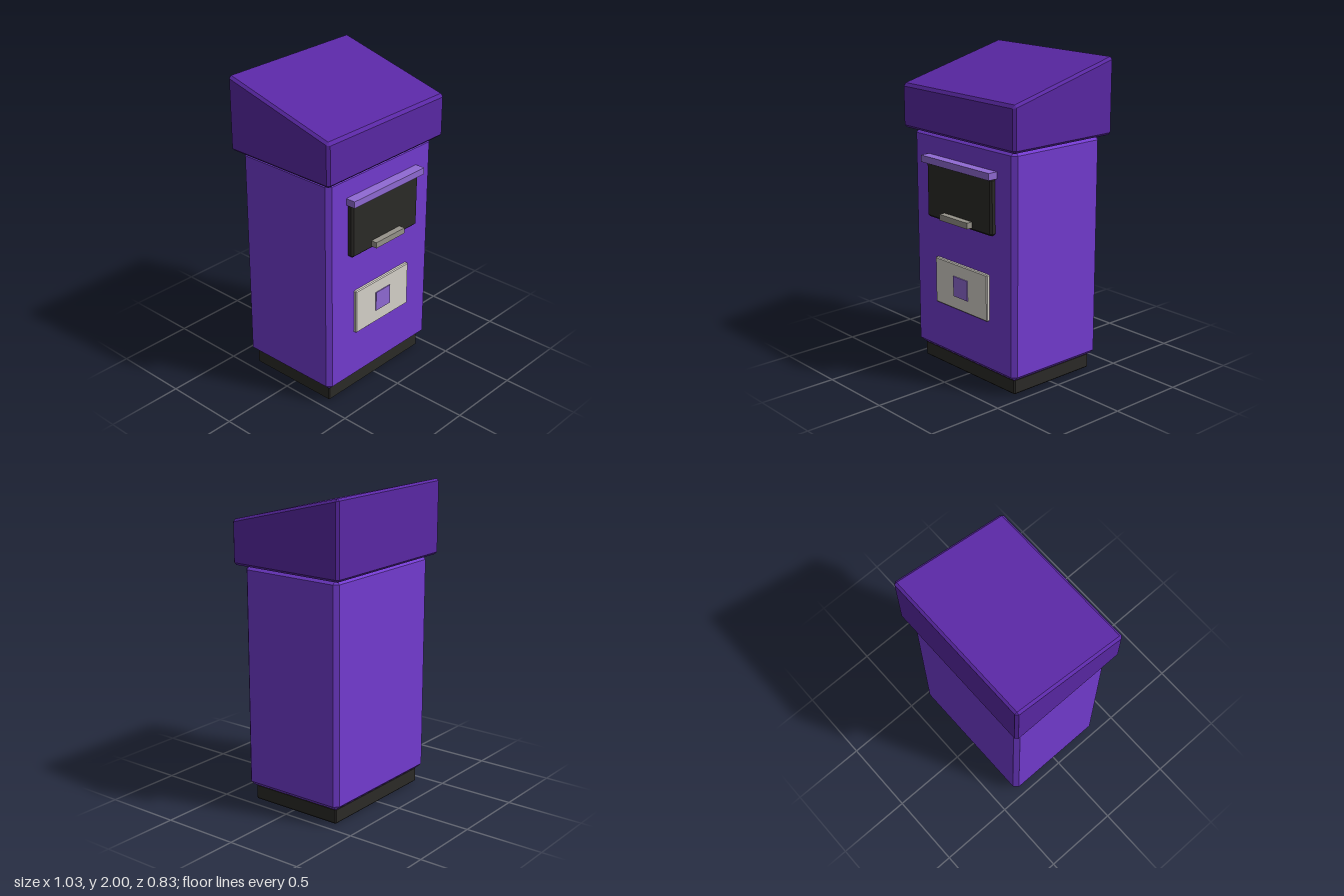
import * as THREE from 'three';
import { ConvexGeometry } from 'three/addons/geometries/ConvexGeometry.js';

// Box with chamfered edges between two corners; slope tilts its top along z.
function chamferBox([x0, y0, z0], [x1, y1, z1], c, slope = 0) {
  const points = [];
  for (const sx of [0, 1]) for (const sy of [0, 1]) for (const sz of [0, 1]) {
    // each corner becomes three points, one on each adjoining face
    for (let face = 0; face < 3; face++) {
      const inset = [c, c, c];
      inset[face] = 0;
      const x = sx ? x1 - inset[0] : x0 + inset[0];
      const z = sz ? z1 - inset[2] : z0 + inset[2];
      let y = sy ? y1 - inset[1] : y0 + inset[1];
      if (sy) y -= slope * (z - z0 - c);
      points.push(new THREE.Vector3(x, y, z));
    }
  }
  return new ConvexGeometry(points);
}

function plainBox([x0, y0, z0], [x1, y1, z1]) {
  return new THREE.BoxGeometry(x1 - x0, y1 - y0, z1 - z0)
    .translate((x0 + x1) / 2, (y0 + y1) / 2, (z0 + z1) / 2);
}

export function createModel() {
  const group = new THREE.Group();
  const material = (color) => new THREE.MeshStandardMaterial({ color });
  const purple = material(0x733bd0);
  const darkPurple = material(0x5a28a5);
  const lilac = material(0x906ad4);
  const black = material(0x2b2a27);
  const cream = material(0xd6d2ca);
  const grey = material(0x96938a);

  const add = (name, geometry, mat) => {
    const mesh = new THREE.Mesh(geometry, mat);
    mesh.name = name;
    group.add(mesh);
  };

  // Plinth, cabinet and sloping lid
  add('base', chamferBox([-0.43, 0, -0.335], [0.43, 0.1, 0.303], 0.008), black);
  add('body', chamferBox([-0.467, 0.1, -0.37], [0.467, 1.525, 0.34], 0.028), purple);
  add('slopedLid', chamferBox([-0.515, 1.525, -0.415], [0.515, 2, 0.385], 0.016, 0.254), darkPurple);

  // Deposit hatch with visor and handle
  add('hatch', chamferBox([-0.3, 0.99, 0.32], [0.3, 1.34, 0.375], 0.012), black);
  add('visor', plainBox([-0.317, 1.34, 0.32], [0.317, 1.383, 0.405]), lilac);
  add('handle', plainBox([-0.13, 1.007, 0.36], [0.13, 1.045, 0.415]), grey);

  // Front panel with square inlay
  add('panel', chamferBox([-0.245, 0.435, 0.33], [0.245, 0.733, 0.36], 0.006), cream);
  add('panelInlay', plainBox([-0.066, 0.52, 0.35], [0.066, 0.65, 0.366]), lilac);

  return group;
}
